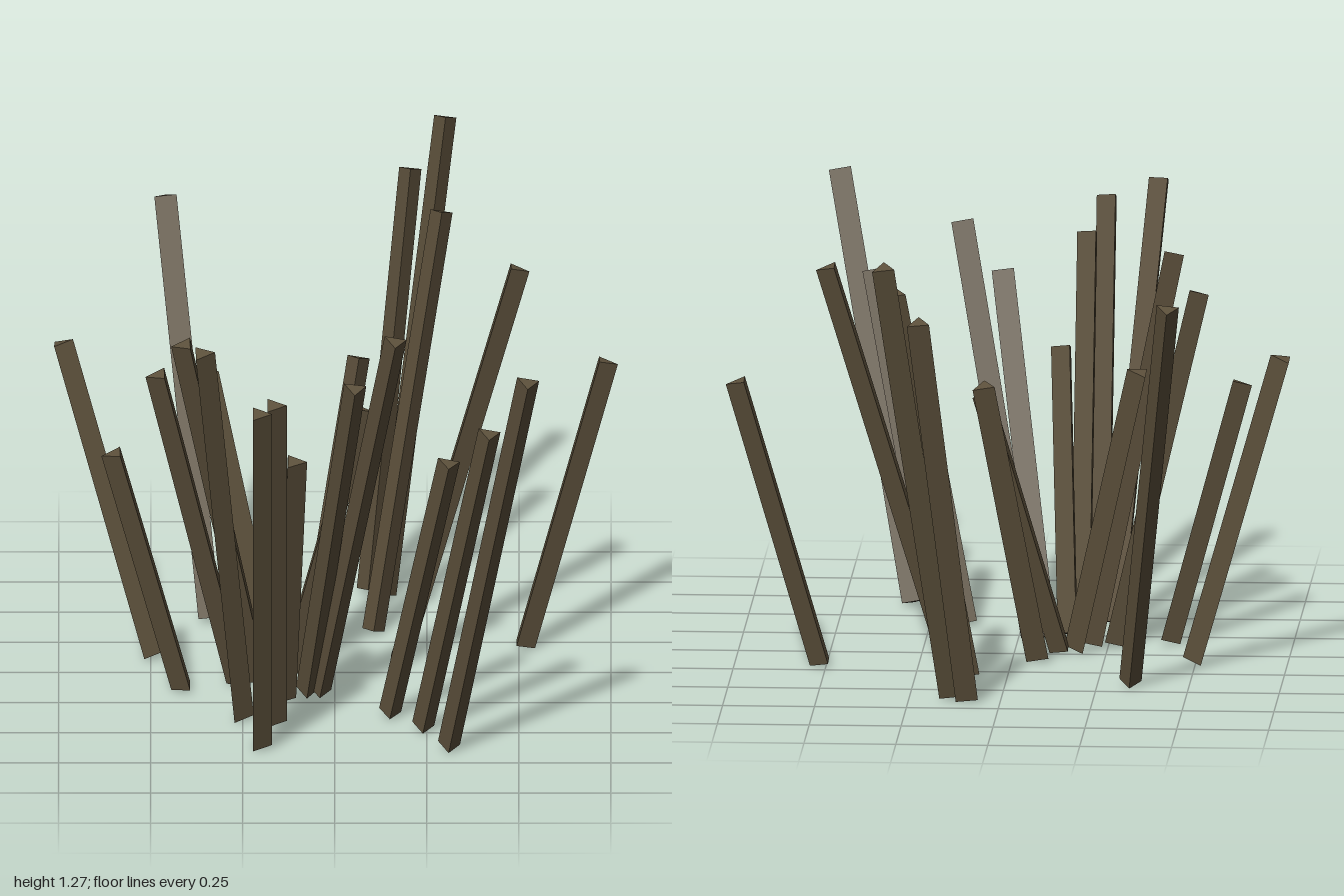
import * as THREE from 'three';

// Each stake: foot x, foot z, tip x, tip z, tip height, direction of one edge in quarter turns
const STAKES = [
  [0.09, -0.66, 0.205, -0.973, 1.12, 0],
  [0.137, -0.617, 0.30, -0.968, 1.27, 0],
  [-0.34, -0.425, -0.46, -0.75, 1.12, 2],
  [-0.07, -0.10, 0.065, -0.30, 0.81, 0],
  [0.105, -0.32, 0.29, -0.60, 1.125, 0],
  [0.17, -0.08, 0.495, -0.175, 1.11, 1],
  [0.51, -0.20, 0.735, -0.27, 0.81, 1],
  [-0.13, 0.01, 0.075, -0.075, 0.74, 1],
  [-0.50, -0.115, -0.745, -0.22, 0.88, 1],
  [-0.17, 0.035, -0.35, -0.135, 0.82, 1],
  [-0.41, 0.15, -0.60, 0.235, 0.72, 3],
  [-0.20, 0.09, -0.41, 0.315, 1.06, 3],
  [-0.26, 0.10, -0.48, 0.275, 0.96, 3],
  [-0.14, 0.235, -0.11, 0.45, 0.77, 1],
  [-0.075, 0.185, 0.055, 0.45, 0.98, 0],
  [-0.04, 0.185, 0.165, 0.45, 1.115, 0],
  [0.15, 0.365, 0.31, 0.505, 0.785, 0],
  [0.24, 0.48, 0.42, 0.68, 0.93, 0],
  [0.31, 0.64, 0.525, 0.92, 1.16, 0],
  [-0.255, 0.39, -0.36, 0.735, 1.18, 1],
  [-0.165, 0.43, -0.165, 0.735, 1.03, 1],
  [-0.205, 0.63, -0.205, 0.965, 1.085, 1],
];
const RADIUS = 0.035;

export function createModel() {
  const group = new THREE.Group();
  group.name = 'stakeCluster';
  const wood = new THREE.MeshStandardMaterial({ color: 0x5c503b, flatShading: true });
  wood.name = 'weathered wood';
  const up = new THREE.Vector3(0, 1, 0);

  STAKES.forEach(([fx, fz, tx, tz, height, turn], i) => {
    const foot = new THREE.Vector3(fx, 0.01, fz);
    const tip = new THREE.Vector3(tx, height - 0.008, tz);
    const axis = tip.clone().sub(foot);
    // Three-sided post, turned first and then leaned outward
    const geometry = new THREE.CylinderGeometry(RADIUS, RADIUS, axis.length(), 3);
    geometry.rotateY(turn * Math.PI / 2);
    const stake = new THREE.Mesh(geometry, wood);
    stake.name = `stake${i + 1}`;
    stake.quaternion.setFromUnitVectors(up, axis.normalize());
    stake.position.addVectors(foot, tip).multiplyScalar(0.5);
    group.add(stake);
  });
  return group;
}
